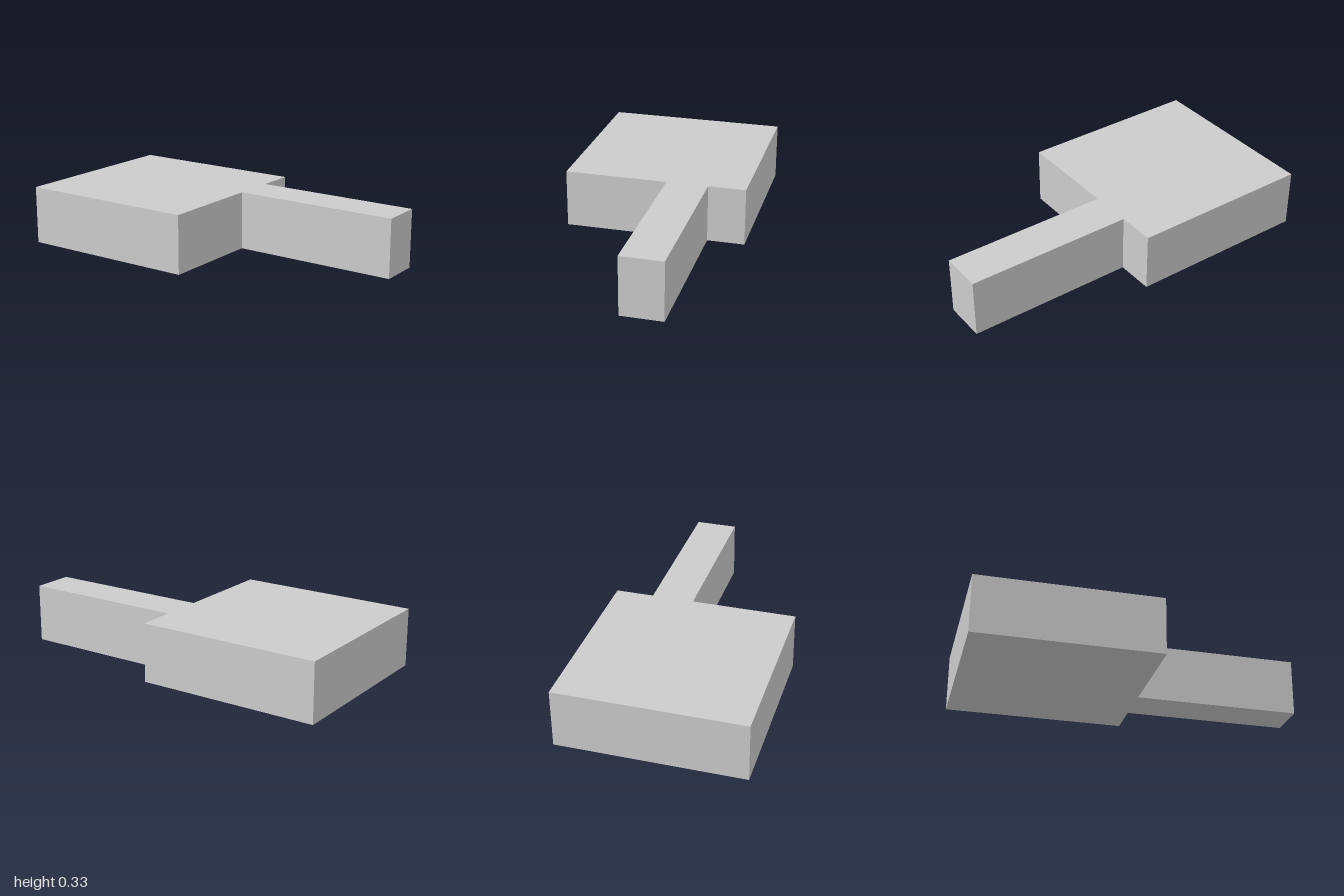
import * as THREE from 'three';

const HEIGHT = 0.334;
const HALF_WIDTH = 0.524;
const STEP_Z = 0.046; // front face of the slab, where the arm begins
const ARM_LEFT = 0.309, ARM_RIGHT = 0.07;

export function createModel() {
  const group = new THREE.Group();
  group.name = 'slabWithArm';

  // Floor plan as [x, z], square slab with an off-centre arm reaching forward
  const plan = [
    [-HALF_WIDTH, -1], [-HALF_WIDTH, STEP_Z],
    [ARM_RIGHT, STEP_Z], [ARM_RIGHT, 1],
    [ARM_LEFT, 1], [ARM_LEFT, STEP_Z],
    [HALF_WIDTH, STEP_Z], [HALF_WIDTH, -1],
  ];
  const shape = new THREE.Shape(plan.map(([x, z]) => new THREE.Vector2(x, -z)));

  // Raise the plan upwards from the ground
  const geometry = new THREE.ExtrudeGeometry(shape, { depth: HEIGHT, bevelEnabled: false });
  geometry.rotateX(-Math.PI / 2);

  const body = new THREE.Mesh(
    geometry,
    new THREE.MeshStandardMaterial({ color: 0xcccccc, flatShading: true })
  );
  body.name = 'slabAndArm';
  group.add(body);
  return group;
}
